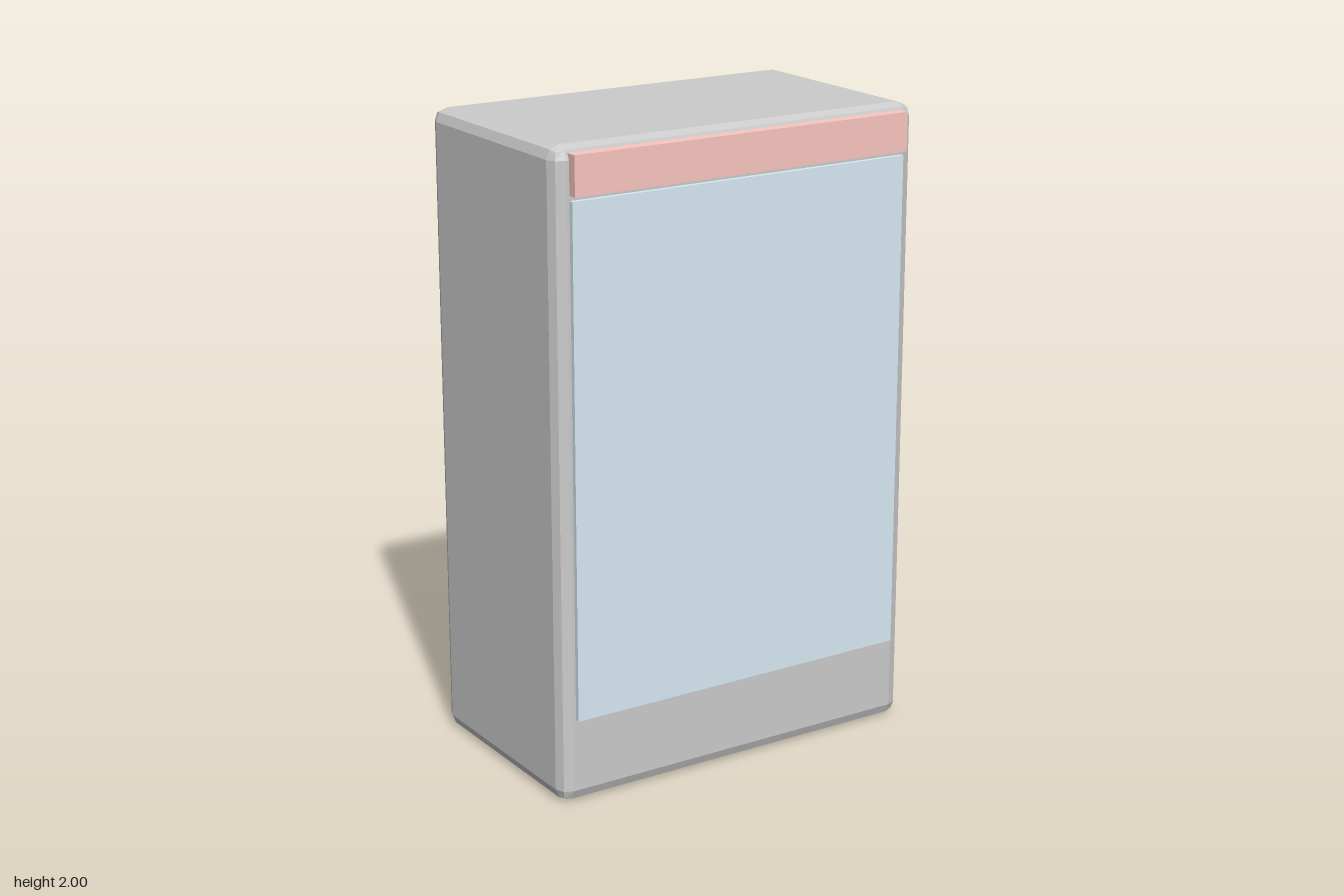
import * as THREE from 'three';
import { RoundedBoxGeometry } from 'three/addons/geometries/RoundedBoxGeometry.js';

// Adds a named mesh spanning the given min and max corners; radius > 0 bevels the edges
function addBox(group, name, color, min, max, radius = 0) {
  const [w, h, d] = max.map((v, i) => v - min[i]);
  const geometry = radius
    ? new RoundedBoxGeometry(w, h, d, 1, radius)
    : new THREE.BoxGeometry(w, h, d);
  const mesh = new THREE.Mesh(geometry, new THREE.MeshStandardMaterial({ color, flatShading: true }));
  mesh.name = name;
  mesh.position.set(...max.map((v, i) => (v + min[i]) / 2));
  group.add(mesh);
}

export function createModel() {
  const group = new THREE.Group();
  group.name = 'displayCabinet';

  // Cabinet with two-step bevelled edges
  addBox(group, 'cabinet', 0xcccccc, [-0.63, 0, -0.38], [0.63, 2, 0.35], 0.04);

  // Thin front glass
  addBox(group, 'glassPanel', 0xd9ebf4, [-0.58, 0.27, 0.335], [0.58, 1.845, 0.365]);

  // Raised sign strip above the glass
  addBox(group, 'signStrip', 0xfac7c1, [-0.58, 1.86, 0.335], [0.58, 1.98, 0.38]);

  return group;
}
